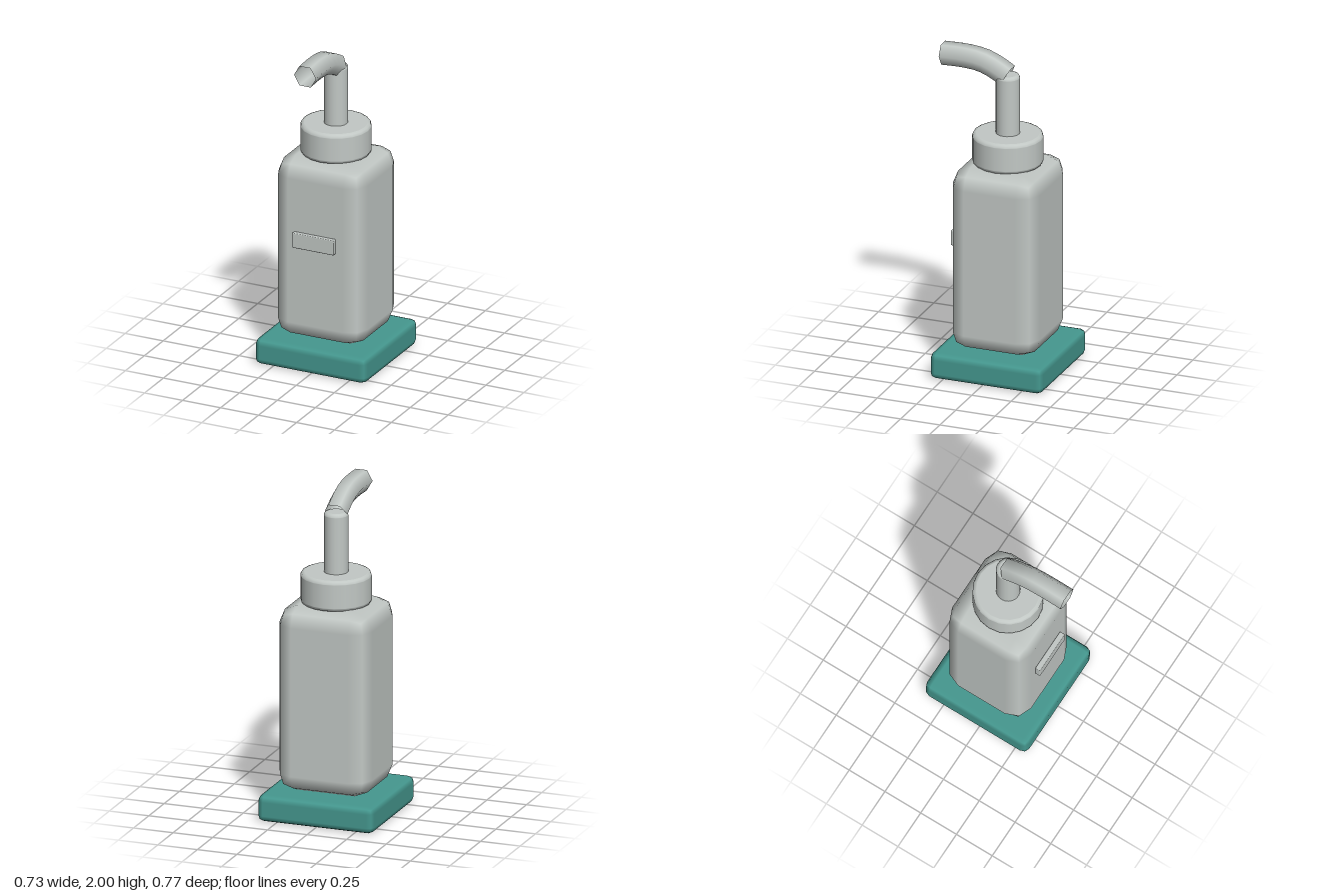
import * as THREE from 'three';
import { RoundedBoxGeometry } from 'three/addons/geometries/RoundedBoxGeometry.js';

const grey = new THREE.MeshStandardMaterial({ color: 0xc2c8c5 });
grey.name = 'pale grey';
grey.side = THREE.DoubleSide; // the spout is an open tube
const teal = new THREE.MeshStandardMaterial({ color: 0x45988f });
teal.name = 'teal';

const AXIS_Z = -0.026; // bottle axis

export function createModel() {
  const group = new THREE.Group();

  const add = (name, geometry, material, x, y, z) => {
    const mesh = new THREE.Mesh(geometry, material);
    mesh.name = name;
    mesh.position.set(x, y, z);
    group.add(mesh);
  };

  // Box with a two-step bevel, placed by its lower and upper height
  const bevelBox = (name, material, w, d, y0, y1, z, r) =>
    add(name, new RoundedBoxGeometry(w, y1 - y0, d, 1, r), material, 0, (y0 + y1) / 2, z);

  // Round part with bevelled rims; support rings keep the flats flat
  const bevelCylinder = (name, r, y0, y1, b) => {
    const k = b * 0.293, s = b * 1.15;
    const profile = [
      [0, y0], [r - s, y0], [r - b, y0], [r - k, y0 + k], [r, y0 + b], [r, y0 + s],
      [r, y1 - s], [r, y1 - b], [r - k, y1 - k], [r - b, y1], [r - s, y1], [0, y1],
    ].map(([x, y]) => new THREE.Vector2(x, y));
    add(name, new THREE.LatheGeometry(profile, 20), grey, 0, 0, AXIS_Z);
  };

  bevelBox('base', teal, 0.734, 0.716, 0, 0.165, -0.027, 0.04);
  bevelBox('bottle', grey, 0.586, 0.552, 0.165, 1.308, AXIS_Z, 0.112);
  bevelBox('frontLabel', grey, 0.274, 0.034, 0.773, 0.868, 0.267, 0.006);
  bevelCylinder('collar', 0.211, 1.3, 1.49, 0.02);
  bevelCylinder('stem', 0.072, 1.45, 1.86, 0.018);

  // Six-sided open spout curving forwards
  const path = new THREE.CatmullRomCurve3([
    [-0.025, 1.85], [0.04, 1.888], [0.13, 1.924], [0.25, 1.937], [0.385, 1.933],
  ].map(([z, y]) => new THREE.Vector3(0, y, z)));
  add('spout', new THREE.TubeGeometry(path, 8, 0.072, 6, false), grey, 0, 0, 0);

  return group;
}
